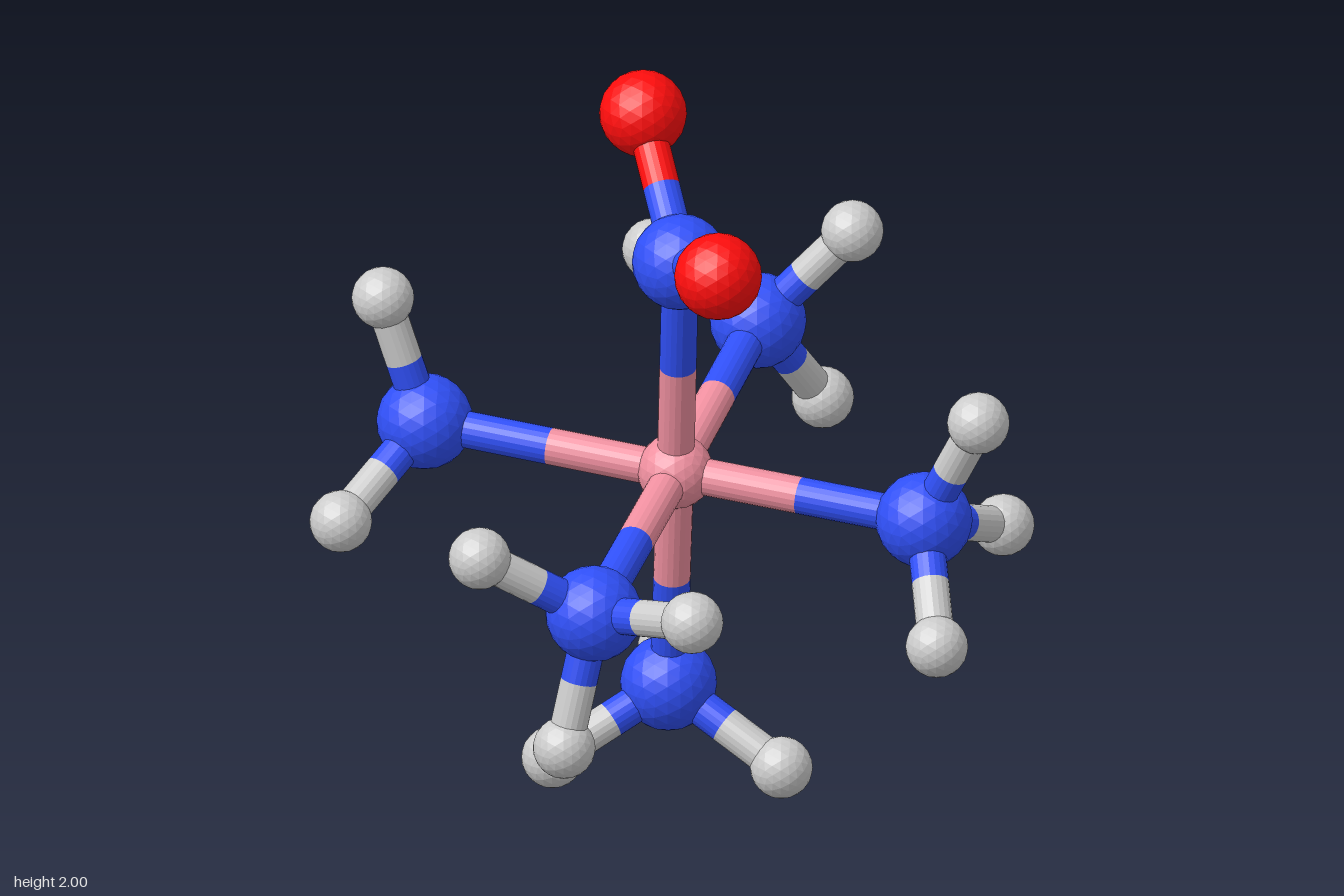
import * as THREE from 'three';

// Atom kinds: colour and ball radius
const KINDS = {
  metal: { color: 0xf090a0, radius: 0.1 },
  nitrogen: { color: 0x3050f8, radius: 0.127 },
  oxygen: { color: 0xff0d0d, radius: 0.115 },
  hydrogen: { color: 0xcccccc, radius: 0.082 },
};
const BOND_RADIUS = 0.049;
const CENTRE = [0.01, 0.93, 0.01];

// Each ligand: a nitrogen and the outer atoms bonded to it
const LIGANDS = [
  { name: 'topNitroGroup', outer: 'oxygen', at: [-0.055, 1.596, 0.147],
    ends: [[0.015, 1.885, -0.167], [-0.168, 1.73, 0.537]] },
  { name: 'bottomAmmine', outer: 'hydrogen', at: [0.066, 0.262, -0.122],
    ends: [[-0.262, 0.107, -0.161], [0.248, 0.083, 0.152], [0.25, 0.2, -0.437]] },
  { name: 'backRightAmmine', outer: 'hydrogen', at: [-0.453, 0.982, -0.497],
    ends: [[-0.32, 0.833, -0.803], [-0.542, 1.33, -0.562], [-0.758, 0.797, -0.41]] },
  { name: 'backLeftAmmine', outer: 'hydrogen', at: [0.518, 1.077, -0.433],
    ends: [[0.39, 1.185, -0.757], [0.723, 1.34, -0.295], [0.74, 0.79, -0.478]] },
  { name: 'frontRightAmmine', outer: 'hydrogen', at: [-0.496, 0.807, 0.455],
    ends: [[-0.794, 1.0, 0.373], [-0.4, 0.892, 0.8], [-0.59, 0.447, 0.462]] },
  { name: 'frontLeftAmmine', outer: 'hydrogen', at: [0.471, 0.88, 0.51],
    ends: [[0.787, 0.744, 0.379], [0.544, 1.2, 0.667], [0.357, 0.643, 0.772]] },
];

export function createModel() {
  const model = new THREE.Group();
  model.name = 'ballAndStickMolecule';

  const materials = {}, balls = {};
  for (const [kind, { color, radius }] of Object.entries(KINDS)) {
    materials[kind] = new THREE.MeshStandardMaterial({ color, flatShading: true });
    balls[kind] = new THREE.IcosahedronGeometry(radius, 3);
  }
  const stick = new THREE.CylinderGeometry(BOND_RADIUS, BOND_RADIUS, 1, 20);
  const up = new THREE.Vector3(0, 1, 0);

  function addAtom(parent, kind, position) {
    const ball = new THREE.Mesh(balls[kind], materials[kind]);
    ball.name = kind + 'Atom';
    ball.position.copy(position);
    parent.add(ball);
  }

  // Half of a bond, from an atom to the midpoint
  function addHalfBond(parent, kind, from, to) {
    const half = new THREE.Mesh(stick, materials[kind]);
    const along = to.clone().sub(from);
    half.name = kind + 'HalfBond';
    half.position.lerpVectors(from, to, 0.5);
    half.scale.y = along.length();
    half.quaternion.setFromUnitVectors(up, along.normalize());
    parent.add(half);
  }

  // Two-tone bond, split halfway between the atom centres
  function addBond(parent, kindA, a, kindB, b) {
    const middle = a.clone().lerp(b, 0.5);
    addHalfBond(parent, kindA, a, middle);
    addHalfBond(parent, kindB, middle, b);
  }

  // Central metal atom
  const centre = new THREE.Vector3(...CENTRE);
  addAtom(model, 'metal', centre);

  // Six ligands around it
  for (const { name, outer, at, ends } of LIGANDS) {
    const group = new THREE.Group();
    group.name = name;
    const nitrogen = new THREE.Vector3(...at);
    addBond(group, 'metal', centre, 'nitrogen', nitrogen);
    addAtom(group, 'nitrogen', nitrogen);
    for (const end of ends) {
      const tip = new THREE.Vector3(...end);
      addBond(group, 'nitrogen', nitrogen, outer, tip);
      addAtom(group, outer, tip);
    }
    model.add(group);
  }
  return model;
}
